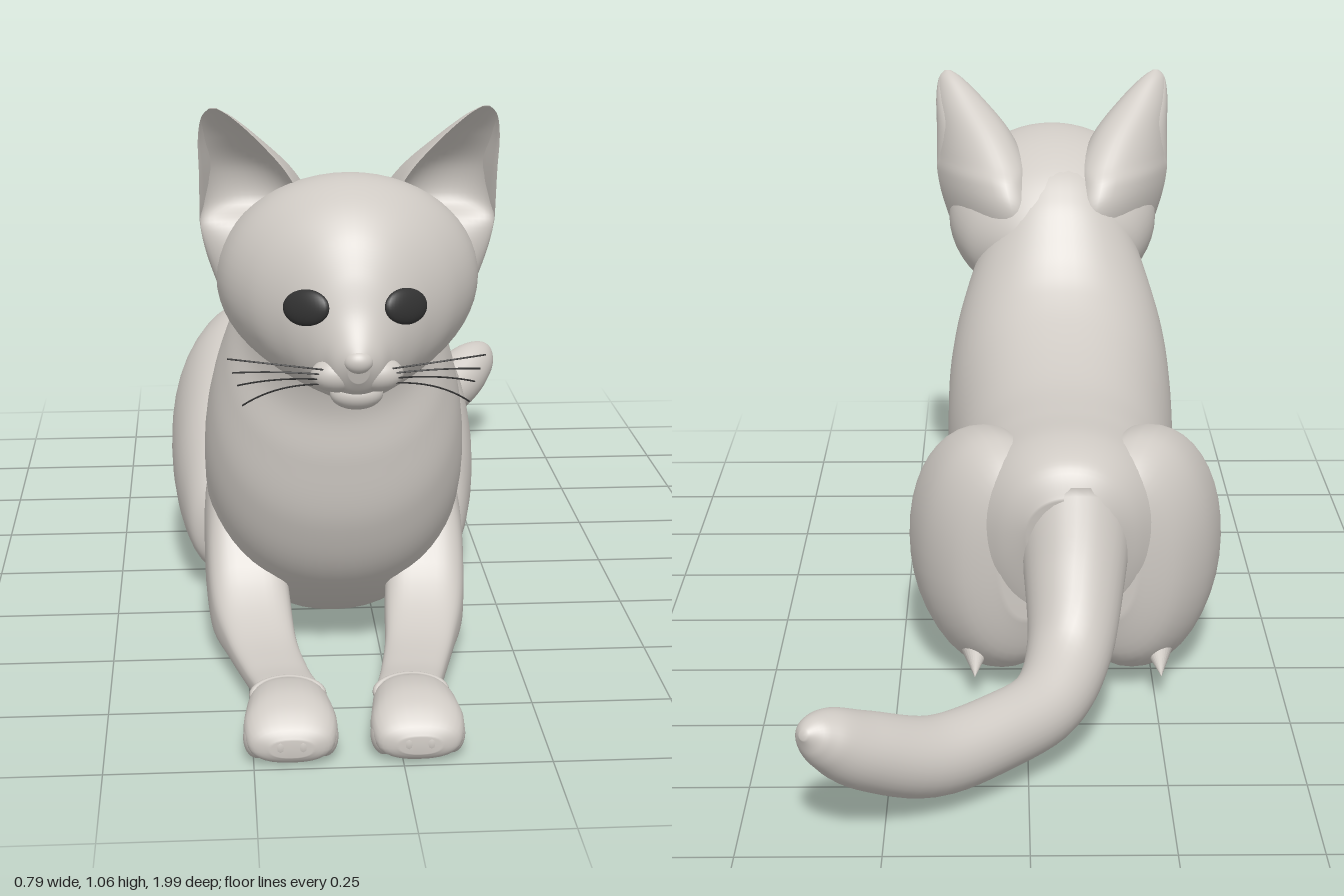
import * as THREE from 'three';

const fur = new THREE.MeshStandardMaterial({ color: 0xcfcac4, side: THREE.DoubleSide });
fur.name = 'warm grey fur';
const dark = new THREE.MeshStandardMaterial({ color: 0x333333 });
dark.name = 'dark eyes and whiskers';

// Catmull-Rom smoothing of every column in a table of section values
function smooth(rows, steps) {
  const out = [], last = rows.length - 1;
  for (let i = 0; i < last; i++) {
    const a = rows[Math.max(i - 1, 0)], b = rows[i], c = rows[i + 1], d = rows[Math.min(i + 2, last)];
    for (let s = 0; s < steps; s++) {
      const t = s / steps;
      out.push(b.map((p, k) => {
        const cubic = 3 * (p - c[k]) + d[k] - a[k];
        const square = 2 * a[k] - 5 * p + 4 * c[k] - d[k];
        return p + 0.5 * t * (c[k] - a[k] + t * (square + t * cubic));
      }));
    }
  }
  out.push(rows[last]);
  return out;
}

// Closed skin through sections; shape(row, cos, sin, index, rows) gives a point
function loft(table, shape, steps = 6, sides = 40) {
  const rows = smooth(table, steps), pos = [], idx = [];
  rows.forEach((row, i) => {
    for (let j = 0; j < sides; j++) {
      const a = j / sides * Math.PI * 2;
      pos.push(...shape(row, Math.cos(a), Math.sin(a), i, rows));
    }
  });
  for (let i = 0; i < rows.length - 1; i++) for (let j = 0; j < sides; j++) {
    const a = i * sides + j, b = i * sides + (j + 1) % sides;
    idx.push(a, b, a + sides, b, b + sides, a + sides);
  }
  // end caps
  for (const [start, flip] of [[0, true], [(rows.length - 1) * sides, false]]) {
    const c = [0, 0, 0], n = pos.length / 3;
    for (let j = 0; j < sides; j++) for (let k = 0; k < 3; k++) c[k] += pos[(start + j) * 3 + k] / sides;
    pos.push(...c);
    for (let j = 0; j < sides; j++) {
      const a = start + j, b = start + (j + 1) % sides;
      idx.push(n, flip ? b : a, flip ? a : b);
    }
  }
  const g = new THREE.BufferGeometry();
  g.setAttribute('position', new THREE.Float32BufferAttribute(pos, 3));
  g.setIndex(idx);
  g.computeVertexNormals();
  return g;
}

const pow = (v, e) => Math.sign(v) * Math.abs(v) ** e;
// Section between an upper point and a lower point: [zA, yA, zB, yB, halfWidth]
const slice = e => ([za, ya, zb, yb, w], c, s) => [w * pow(c, e),
  (ya + yb) / 2 + (ya - yb) / 2 * pow(s, e), (za + zb) / 2 + (za - zb) / 2 * pow(s, e)];
// Upright section: [x, z, top, bottom, halfWidth]
const limb = e => ([x, z, top, bot, w], c, s) => [x + w * pow(c, e), (top + bot) / 2 + (top - bot) / 2 * pow(s, e), z];

function group(parent, name, x = 0, y = 0, z = 0) {
  const g = new THREE.Group();
  g.name = name;
  g.position.set(x, y, z);
  parent.add(g);
  return g;
}

function add(parent, name, geometry, material = fur) {
  const m = new THREE.Mesh(geometry, material);
  m.name = name;
  parent.add(m);
  return m;
}

function ball(parent, name, x, y, z, rx, ry, rz, material = fur) {
  const m = add(parent, name, new THREE.SphereGeometry(1, 32, 20), material);
  m.position.set(x, y, z);
  m.scale.set(rx, ry, rz);
  return m;
}

function addPaw(parent, name, x, z) {
  const paw = group(parent, name, x, 0, z);
  add(paw, 'pawPad', loft([
    [0, -0.11, 0.08, 0.035, 0.045], [0, -0.06, 0.098, 0.01, 0.066], [0, 0, 0.105, 0.003, 0.075],
    [0, 0.045, 0.095, 0.002, 0.079], [0, 0.08, 0.07, 0.006, 0.068], [0, 0.093, 0.05, 0.02, 0.035],
  ], limb(0.85), 5, 28));
  for (let i = 0; i < 4; i++) {
    const x = (i - 1.5) * 0.038;
    ball(paw, 'toe', x, 0.038, 0.062 - x * x * 5, 0.023, 0.034, 0.034);
  }
  return paw;
}

export function createModel() {
  const model = new THREE.Group();
  model.name = 'lyingCat';
  const cat = group(model, 'cat', -0.08);
  const headGroup = group(cat, 'headGroup', 0.013);

  // Rump, back, chest and neck in one skin
  add(cat, 'torso', loft([
    [-0.465, 0.44, -0.44, 0.29, 0.08], [-0.43, 0.5, -0.4, 0.17, 0.14], [-0.34, 0.528, -0.33, 0.08, 0.195],
    [-0.2, 0.528, -0.2, 0.05, 0.222], [-0.05, 0.535, -0.05, 0.04, 0.225], [0.08, 0.562, 0.12, 0.03, 0.232],
    [0.18, 0.6, 0.33, 0.03, 0.243], [0.25, 0.645, 0.5, 0.14, 0.243], [0.295, 0.69, 0.575, 0.27, 0.23],
    [0.335, 0.745, 0.598, 0.4, 0.205], [0.385, 0.815, 0.602, 0.5, 0.175], [0.46, 0.875, 0.63, 0.58, 0.15],
    [0.56, 0.88, 0.68, 0.64, 0.11],
  ], slice(0.92), 8, 56));

  // Head, tapering forward into the muzzle
  const head = add(headGroup, 'head', loft([
    [0.345, 0.745, 0.36, 0.66, 0.08], [0.39, 0.815, 0.41, 0.59, 0.15], [0.45, 0.872, 0.46, 0.565, 0.2],
    [0.54, 0.922, 0.54, 0.56, 0.23], [0.64, 0.938, 0.64, 0.565, 0.222], [0.72, 0.915, 0.72, 0.568, 0.18],
    [0.78, 0.865, 0.775, 0.572, 0.126], [0.818, 0.8, 0.81, 0.58, 0.084], [0.842, 0.735, 0.83, 0.59, 0.058],
    [0.865, 0.695, 0.85, 0.605, 0.04], [0.878, 0.67, 0.865, 0.625, 0.018],
  ], slice(1), 8, 56));
  ball(headGroup, 'nose', 0, 0.662, 0.864, 0.025, 0.02, 0.019);
  ball(headGroup, 'chin', 0, 0.595, 0.815, 0.045, 0.027, 0.032);

  // Tail sweeping back and to the left, with an upturned tip
  const up = new THREE.Vector3(0, 1, 0);
  add(cat, 'tail', loft([
    [-0.01, 0.4, -0.36, 0.115], [-0.01, 0.28, -0.44, 0.096], [0.002, 0.17, -0.535, 0.08], [0.045, 0.117, -0.645, 0.07],
    [0.135, 0.103, -0.74, 0.069], [0.25, 0.103, -0.832, 0.071], [0.36, 0.15, -0.902, 0.068],
    [0.418, 0.192, -0.943, 0.055], [0.445, 0.213, -0.97, 0.035], [0.458, 0.222, -0.99, 0.008],
  ], ([x, y, z, r], c, s, i, rows) => {
    const p = rows[Math.max(i - 1, 0)], q = rows[Math.min(i + 1, rows.length - 1)];
    const t = new THREE.Vector3(q[0] - p[0], q[1] - p[1], q[2] - p[2]).normalize();
    const n = up.clone().cross(t).normalize(), b = t.clone().cross(n);
    return new THREE.Vector3(x, y, z).addScaledVector(n, r * c).addScaledVector(b, r * s).toArray();
  }, 6, 32));

  // Cupped ear leaning in at the back: [y, x, halfWidth, frontZ, backDepth, bowlDepth]
  const earShape = loft([
    [0.68, 0.125, 0.085, 0.56, 0.15, -0.05], [0.78, 0.155, 0.09, 0.575, 0.19, -0.03], [0.84, 0.168, 0.09, 0.588, 0.185, 0],
    [0.88, 0.169, 0.09, 0.6, 0.16, 0.05], [0.94, 0.184, 0.075, 0.618, 0.115, 0.062],
    [1, 0.21, 0.05, 0.637, 0.062, 0.036], [1.04, 0.228, 0.026, 0.65, 0.027, 0.012], [1.057, 0.234, 0.006, 0.655, 0.005, 0],
  ], ([y, x, w, f, d, b], c, s) => [x + w * c - 0.35 * d * Math.max(s, 0), y, f - (s > 0 ? d : b) * Math.abs(s)], 6, 40);

  const foreleg = loft([
    [0.17, 0.08, 0.16, 0.06, 0.03], [0.176, 0.14, 0.28, 0.02, 0.062], [0.177, 0.25, 0.33, 0.014, 0.07],
    [0.172, 0.38, 0.28, 0.014, 0.074], [0.162, 0.48, 0.15, 0.016, 0.074], [0.145, 0.58, 0.086, 0.02, 0.064],
    [0.122, 0.7, 0.07, 0.02, 0.058], [0.107, 0.79, 0.075, 0.032, 0.056], [0.105, 0.85, 0.075, 0.04, 0.05],
  ], limb(0.65), 6, 36);

  // Folded thigh, high at the rump and low at the knee
  const thigh = loft([
    [0.08, -0.41, 0.4, 0.18, 0.05], [0.105, -0.375, 0.465, 0.08, 0.11], [0.135, -0.3, 0.508, 0.03, 0.142],
    [0.158, -0.2, 0.5, 0.022, 0.15], [0.17, -0.1, 0.465, 0.02, 0.144], [0.178, 0, 0.41, 0.02, 0.13],
    [0.186, 0.08, 0.335, 0.025, 0.108], [0.2, 0.14, 0.25, 0.045, 0.074], [0.208, 0.165, 0.18, 0.085, 0.03],
  ], limb(0.95), 6, 40);

  const ray = new THREE.Raycaster();
  for (const side of [-1, 1]) {
    const label = side > 0 ? 'left' : 'right';
    const face = group(headGroup, label + 'Face');
    const legs = group(cat, label + 'Legs');
    face.scale.x = legs.scale.x = side;

    add(face, 'ear', earShape);
    ball(face, 'muzzleCheek', 0.033, 0.632, 0.828, 0.045, 0.03, 0.032);

    // Eye set into the face surface
    ray.set(new THREE.Vector3(0.084, 0.742, 2), new THREE.Vector3(0, 0, -1));
    const hit = ray.intersectObject(head)[0];
    const eye = ball(face, 'eye', 0.084, 0.742, hit.point.z - 0.003, 0.046, 0.031, 0.014, dark);
    eye.rotation.set(-0.15, 0.65, -0.1, 'YXZ');

    // Whiskers fanning from the cheek
    [0.662, 0.636, 0.612, 0.575].forEach((y, i) => {
      const curve = new THREE.QuadraticBezierCurve3(
        new THREE.Vector3(0.045, 0.643 - i * 0.008, 0.845),
        new THREE.Vector3(0.13, 0.662 - i * 0.012, 0.875 - i * 0.01),
        new THREE.Vector3(0.216 - i * 0.008, y, 0.83 - i * 0.008));
      add(face, 'whisker', new THREE.TubeGeometry(curve, 12, 0.0015, 5), dark);
    });

    // Foreleg, cuff and front paw
    add(legs, 'foreleg', foreleg);
    const cuff = add(legs, 'wristCuff', new THREE.TorusGeometry(0.058, 0.009, 10, 32));
    cuff.position.set(0.107, 0.06, 0.82);
    cuff.scale.y = 0.5;
    cuff.rotation.x = -0.5;
    addPaw(legs, 'frontPaw', 0.107, 0.904);

    // Hind leg
    add(legs, 'thigh', thigh);
    addPaw(legs, 'hindPaw', 0.185, 0.1).scale.setScalar(0.78);
    const heel = add(legs, 'heel', new THREE.ConeGeometry(0.045, 0.16, 20));
    heel.position.set(0.18, 0.075, -0.335);
    heel.rotation.x = -Math.PI / 2 - 0.2;
  }
  return model;
}
